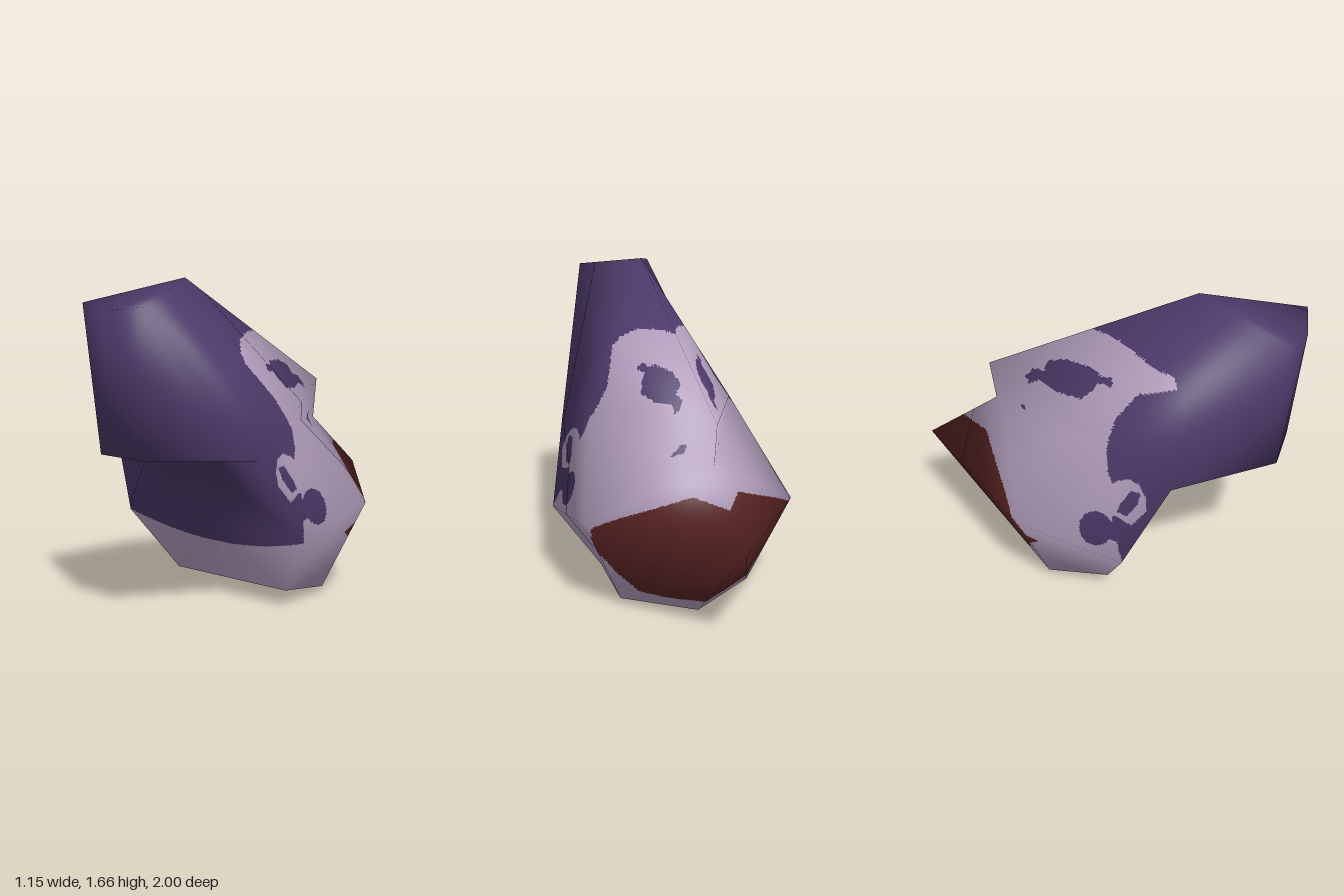
import * as THREE from 'three';
import { toCreasedNormals } from 'three/addons/utils/BufferGeometryUtils.js';

// Key points of the head (the +x half; x = 0 lies on the centre line)
const P = {
  crown: [0, 1.665, 0.47], nose: [0, 1.06, -0.63], lip: [0, 0.85, -0.6],
  beardTip: [0, 0.54, -1], chin: [0, 0, -0.4], nape: [0, 0.83, 0.46],
  napeLow: [0, 0.4, 0.27], neckMid: [0, 0.09, 0.13],
  bunLow: [0.13, 0.855, 0.93], bunTop: [0, 1.54, 1],
  bunSide: [0.2, 1.565, 0.96], hairSide: [0.455, 0.822, 0.48], brow: [0.388, 0.95, 0.16],
  jawBack: [0.575, 0.4, 0.27], cheek: [0.56, 0.5, -0.285],
  neckBack: [0.356, 0.09, 0.13], neckFront: [0.353, 0.035, -0.2],
};

// Faces of the +x half, counter-clockwise from outside; the neck stays open
const SIDE = [
  'bunTop bunLow bunSide', 'bunSide bunLow hairSide', 'crown bunTop bunSide',
  'nape hairSide bunLow', 'crown bunSide hairSide', 'crown hairSide brow',
  'crown brow nose', 'nose brow lip', 'lip brow cheek', 'lip cheek beardTip',
  'brow hairSide jawBack', 'brow jawBack cheek', 'nape jawBack hairSide',
  'nape napeLow jawBack', 'napeLow neckMid neckBack', 'napeLow neckBack jawBack',
  'jawBack neckBack cheek', 'cheek neckBack neckFront', 'cheek neckFront beardTip',
  'beardTip neckFront chin',
];
// Faces crossing the centre line; "-" marks the mirrored point
const MIDDLE = ['bunTop -bunLow bunLow', 'nape bunLow -bunLow'];

// Painted regions, outlined in (z, y)
const hairOutline = (bulge) => [
  [-0.06, 1.375], [0.1, 1.37], [0.2, 1.345], [bulge - 0.02, 1.3], [bulge, 1.25], [0.25, 1.2],
  [0.15, 1.07], [0.13, 0.95], [0.15, 0.84], [0.2, 0.75], [0.2, 0.62], [0.19, 0.57],
  [0.19, 0.51], [0.235, 0.5], [0.275, 0.4], [0.6, 0.4], [1.2, 0.6], [1.2, 1.9], [0, 1.9],
];
const HAIR = { right: hairOutline(0.435), left: hairOutline(0.29) };
const EYE = [
  [0.04, 1.18], [0.03, 1.215], [-0.02, 1.205], [-0.06, 1.222], [-0.2, 1.21], [-0.28, 1.175],
  [-0.29, 1.13], [-0.35, 1.115], [-0.375, 1.075], [-0.355, 1.05], [-0.31, 1.08], [-0.2, 1.07],
  [-0.09, 1.085], [-0.05, 1.13], [-0.03, 1.175],
];
const NOSTRIL = [[-0.38, 0.86], [-0.4, 0.9], [-0.44, 0.915], [-0.43, 0.87], [-0.39, 0.84]];
const EAR = [
  [0.2, 0.8], [0.26, 0.825], [0.32, 0.81], [0.36, 0.75], [0.37, 0.69], [0.33, 0.64],
  [0.3, 0.6], [0.24, 0.62], [0.16, 0.64], [0.16, 0.76],
];
const EAR_HOLE = [[0.33, 0.77], [0.28, 0.77], [0.23, 0.69], [0.22, 0.65], [0.27, 0.64], [0.32, 0.71]];
const BEARD = [
  [-0.85, 0.69], [-0.62, 0.71], [-0.55, 0.66], [-0.4, 0.56], [-0.3, 0.48], [-0.26, 0.39],
  [-0.2, 0.35], [-0.26, 0.31], [-0.28, 0.22], [-0.33, 0.13], [-0.39, 0.09], [-0.5, 0.09],
  [-0.7, 0], [-1.2, 0.4], [-1.2, 0.7],
];

function inside(poly, z, y) {
  let hit = false;
  for (let i = 0, j = poly.length - 1; i < poly.length; j = i++) {
    const [a, b] = poly[i], [c, d] = poly[j];
    if ((b > y) !== (d > y) && z < ((c - a) * (y - b)) / (d - b) + a) hit = !hit;
  }
  return hit;
}

// Which part a point on the surface belongs to
function partAt({ x, y, z }, normal) {
  // Hairline across the back of the neck
  if (normal.z > 0.6 && y < 0.8) return y > 0.31 + 0.28 * x * x ? 'hair' : 'skin';
  if (inside(BEARD, z, y)) return 'beard';
  // The eye on the right side is longer, its nostril smaller
  const eyeZ = x < 0 ? (z - 0.054) / 1.2 : z;
  if (inside(EYE, eyeZ, y) || inside(EAR_HOLE, z, y)) return 'hair';
  if (x < 0 ? Math.hypot(z + 0.41, y - 0.89) < 0.015 : inside(NOSTRIL, z, y)) return 'hair';
  if (Math.hypot(z - 0.12, y - 0.55) < 0.085) return 'hair';
  if (inside(EAR, z, y)) return 'skin';
  return inside(x < 0 ? HAIR.right : HAIR.left, z, y) ? 'hair' : 'skin';
}

// Coarse head shell with soft normals all over
function headShell() {
  const pos = [];
  const add = (names, flip) => names.forEach((n) => {
    const mirrored = n.startsWith('-') !== flip;
    const [x, y, z] = P[n.replace('-', '')];
    pos.push(mirrored && x ? -x : x, y, z);
  });
  for (const face of SIDE) {
    const names = face.split(' ');
    add(names, false);
    add([...names].reverse(), true);
  }
  for (const face of MIDDLE) add(face.split(' '), false);
  const geo = new THREE.BufferGeometry();
  geo.setAttribute('position', new THREE.Float32BufferAttribute(pos, 3));
  return toCreasedNormals(geo, Math.PI);
}

// Divide every face finely and sort the pieces into parts
function splitParts(shell, n) {
  const parts = {};
  for (const name of ['skin', 'hair', 'beard']) parts[name] = { pos: [], nor: [] };
  const { position, normal } = shell.attributes;
  const faceNormal = new THREE.Vector3(), mid = new THREE.Vector3();
  for (let f = 0; f < position.count; f += 3) {
    const read = (attr) => [0, 1, 2].map((k) => new THREE.Vector3().fromBufferAttribute(attr, f + k));
    const p = read(position), m = read(normal);
    new THREE.Triangle(...p).getNormal(faceNormal);
    const mix = (v, i, j) => new THREE.Vector3()
      .addScaledVector(v[0], (n - i - j) / n).addScaledVector(v[1], i / n).addScaledVector(v[2], j / n);
    const piece = (corners) => {
      const pts = corners.map(([i, j]) => mix(p, i, j));
      mid.copy(pts[0]).add(pts[1]).add(pts[2]).divideScalar(3);
      const part = parts[partAt(mid, faceNormal)];
      pts.forEach((q) => part.pos.push(q.x, q.y, q.z));
      corners.forEach(([i, j]) => part.nor.push(...mix(m, i, j).normalize().toArray()));
    };
    for (let i = 0; i < n; i++) {
      for (let j = 0; j < n - i; j++) {
        piece([[i, j], [i + 1, j], [i, j + 1]]);
        if (i + j < n - 1) piece([[i + 1, j], [i + 1, j + 1], [i, j + 1]]);
      }
    }
  }
  return parts;
}

export function createModel() {
  const colors = { skin: 0xae9ab8, hair: 0x4b3867, beard: 0x582323 };
  const group = new THREE.Group();
  group.name = 'head';
  const parts = splitParts(headShell(), 56);
  for (const [name, { pos, nor }] of Object.entries(parts)) {
    const geo = new THREE.BufferGeometry();
    geo.setAttribute('position', new THREE.Float32BufferAttribute(pos, 3));
    geo.setAttribute('normal', new THREE.Float32BufferAttribute(nor, 3));
    const material = new THREE.MeshStandardMaterial({ color: colors[name], side: THREE.DoubleSide });
    material.name = name + ' colour';
    const mesh = new THREE.Mesh(geo, material);
    mesh.name = name;
    group.add(mesh);
  }
  return group;
}
